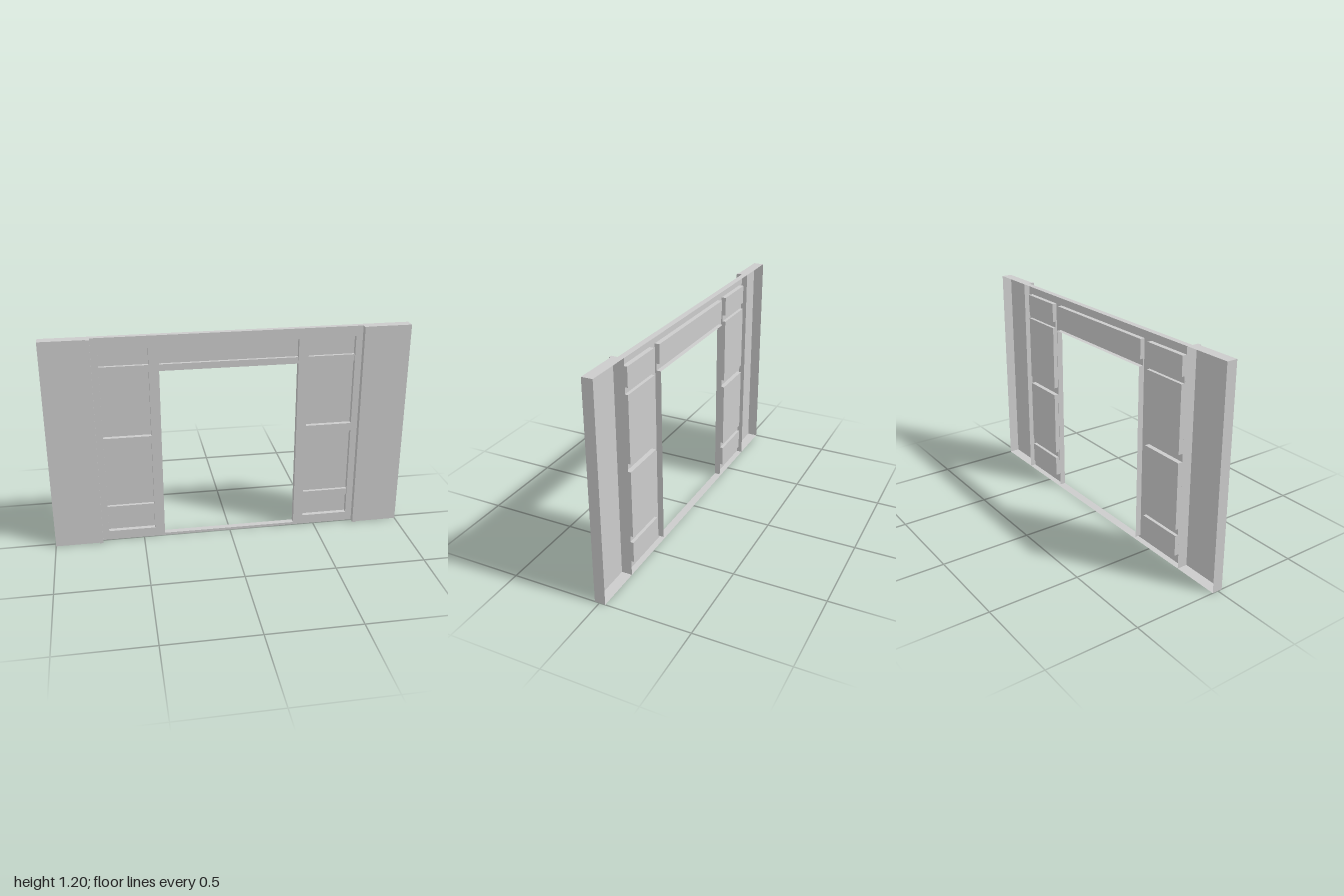
import * as THREE from 'three';

const H = 1.2, BACK = -0.033, FACE = 0, SLAT = -0.008, PANEL = -0.026;
const WALL = 0.026, TRIM = 0.034, BAY = 0.735, DOOR = 0.38;
const material = new THREE.MeshStandardMaterial({ color: 0xcccccc, side: THREE.DoubleSide });

// Box between limits, keeping only the listed sides (l r = -x +x, d u = -y +y, b f = -z +z)
function shell(parent, name, [x0, x1], [y0, y1], [z0, z1], sides) {
  const geo = new THREE.BoxGeometry(x1 - x0, y1 - y0, z1 - z0);
  const index = [...geo.index.array];
  geo.setIndex([...'rludfb'].flatMap((s, i) => sides.includes(s) ? index.slice(i * 6, i * 6 + 6) : []));
  geo.clearGroups();
  geo.translate((x0 + x1) / 2, (y0 + y1) / 2, (z0 + z1) / 2);
  const mesh = new THREE.Mesh(geo, material);
  mesh.name = name;
  parent.add(mesh);
}

// Flat sheet facing front, with rectangular openings
function sheet(parent, name, [x0, x1], [y0, y1], z, holes = []) {
  const outline = (a, b, c, d, path) => path.moveTo(a, c).lineTo(b, c).lineTo(b, d).lineTo(a, d).closePath();
  const shape = outline(x0, x1, y0, y1, new THREE.Shape());
  holes.forEach(([[a, b], [c, d]]) => shape.holes.push(outline(a, b, c, d, new THREE.Path())));
  const mesh = new THREE.Mesh(new THREE.ShapeGeometry(shape), material);
  mesh.name = name;
  mesh.position.z = z;
  parent.add(mesh);
}

export function createModel() {
  const group = new THREE.Group();
  const span = (s, a, b) => s > 0 ? [a, b] : [-b, -a];
  const openings = [];

  for (const s of [-1, 1]) {
    const side = new THREE.Group();
    side.name = s > 0 ? 'leftSide' : 'rightSide';
    group.add(side);

    // Plain wall, open at the back, with a narrow upright trim
    shell(side, 'wall', span(s, BAY, 1), [0, H], [BACK, WALL], 'lrduf');
    shell(side, 'trim', span(s, BAY, 0.754), [0, H], [WALL, TRIM], 'lrduf');

    // Sidelight: two recesses, each split by a set-back slat into two panels
    const xs = span(s, 0.435, 0.698);
    for (const [y0, y1, y2, y3] of [[0.055, 0.172, 0.208, 0.585], [0.63, 1.0, 1.037, 1.143]]) {
      openings.push([xs, [y0, y3]]);
      shell(side, 'recessEdge', xs, [y0, y3], [SLAT, FACE], 'lrdu');
      sheet(side, 'slat', xs, [y1, y2], SLAT);
      shell(side, 'panel', xs, [y0, y1], [PANEL, SLAT], 'lrdub');
      shell(side, 'panel', xs, [y2, y3], [PANEL, SLAT], 'lrdub');
    }
  }

  // Doorway lining and the panelled header above it
  const door = [-DOOR, DOOR];
  openings.push([door, [0.014, 1.143]]);
  shell(group, 'openingEdge', door, [0.014, 1.143], [SLAT, FACE], 'lrdu');
  shell(group, 'doorLining', door, [0.014, 1.0], [BACK, SLAT], 'lrdu');
  sheet(group, 'headerRail', door, [1.0, 1.037], SLAT);
  shell(group, 'headerPanel', door, [1.037, 1.143], [PANEL, SLAT], 'lrdub');

  // Front face of the frame and its top and bottom returns
  sheet(group, 'frameFace', [-BAY, BAY], [0, H], FACE, openings);
  shell(group, 'frameReturns', [-BAY, BAY], [0, H], [BACK, FACE], 'du');
  return group;
}
